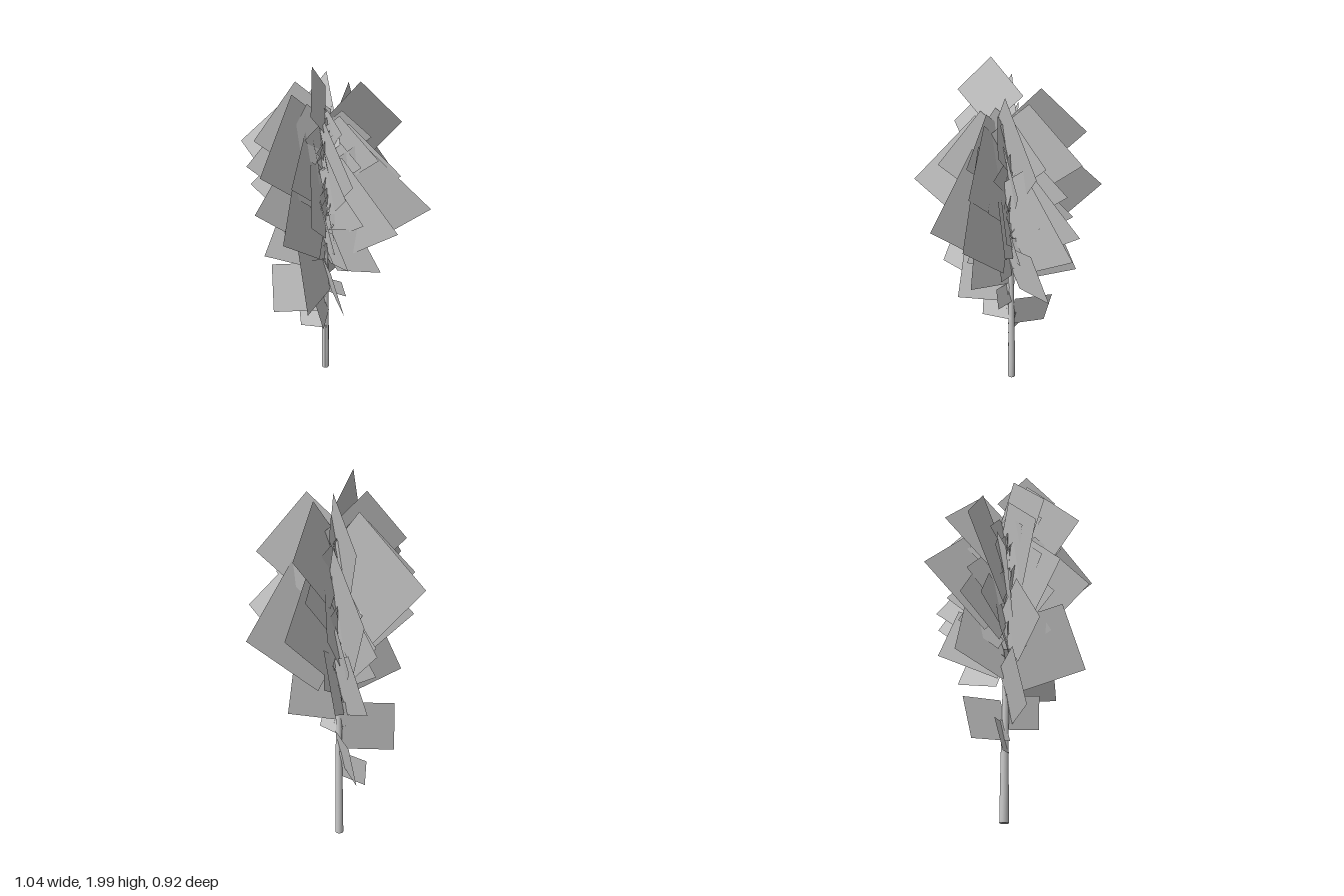
import * as THREE from 'three';

const HEIGHT = 1.74, TWIST = 0.23;
const wood = new THREE.MeshStandardMaterial({ color: 0xcccccc });
const leaf = new THREE.MeshStandardMaterial({ color: 0xcccccc, side: THREE.DoubleSide, flatShading: true });

// Centre line of the slightly leaning trunk
function trunkAt(y) {
  const t = y / HEIGHT;
  return new THREE.Vector3(-0.037 + 0.012 * t, y, -0.042 + 0.035 * t * t);
}

// Outer lower corners (x, y, z) of the big foliage cards that shape the crown
const TIPS = [
  [-0.185, 0.31, -0.05], [-0.18, 0.37, -0.2], [-0.02, 0.46, 0.13], [-0.32, 0.49, 0.06],
  [0.09, 0.61, 0], [0.11, 0.66, 0.23], [0.16, 0.77, -0.3], [-0.06, 0.77, 0.375],
  [-0.26, 0.8, -0.29], [-0.12, 0.82, -0.385], [0.285, 0.87, 0.09], [-0.335, 0.94, 0.13],
  [0.28, 1.1, -0.09], [-0.3, 1.1, -0.27], [0.12, 1.18, -0.43], [-0.165, 1.22, 0.41],
  [0.52, 1.26, 0.045], [-0.285, 1.28, -0.46], [-0.43, 1.28, -0.035], [0.32, 1.17, -0.435],
  [0.37, 1.24, 0.265], [0.08, 1.36, 0.46], [-0.34, 1.27, 0.245], [-0.52, 1.43, -0.225],
  [0.36, 1.45, 0.065], [-0.4, 1.47, 0.12], [0.15, 1.5, 0.295], [-0.27, 1.55, 0.36],
  [0.08, 1.56, -0.41], [0.25, 1.55, 0.11], [-0.22, 1.6, -0.37], [0.335, 1.59, -0.25],
  [-0.34, 1.64, 0.17], [-0.05, 1.82, 0.25],
];

// Smaller inner cards, spiralling up the trunk
function innerTips(count) {
  const tips = [];
  for (let i = 0; i < count; i++) {
    const t = i / (count - 1), a = i * 2.39996;
    const y = 0.85 + 0.82 * t;
    const r = 0.18 + 0.12 * Math.sin(Math.PI * t) + 0.04 * Math.sin(i * 4.7);
    const c = trunkAt(y);
    tips.push([c.x + r * Math.cos(a), y, c.z + r * Math.sin(a)]);
  }
  return tips;
}

// Square card whose base edge is centred on the trunk, rising along its twig
function addBranch(parent, [x, y, z]) {
  const c = trunkAt(y);
  const reach = Math.hypot(x - c.x, z - c.z);
  // twigs droop low down and rise to about 43 degrees in the crown
  const rise = THREE.MathUtils.degToRad(-10 + 53 * THREE.MathUtils.clamp((y - 0.3) / 0.95, 0, 1));
  const cos = Math.cos(rise), sin = Math.sin(rise);
  const size = reach / (cos + 0.5 * sin);
  const az = Math.atan2(z - c.z, x - c.x) + Math.atan(0.5 * size * Math.sin(TWIST) / reach);
  const out = new THREE.Vector3(Math.cos(az), 0, Math.sin(az));
  const lean = new THREE.Vector3(-out.z, 0, out.x);
  const dir = out.clone().multiplyScalar(cos).setY(sin);
  const across = out.clone().multiplyScalar(-sin).setY(cos)
    .multiplyScalar(Math.cos(TWIST)).addScaledVector(lean, Math.sin(TWIST));
  const base = trunkAt(y - size * sin + 0.5 * size * cos);

  const branch = new THREE.Group();
  branch.name = 'branch';
  branch.position.copy(base);
  branch.quaternion.setFromRotationMatrix(
    new THREE.Matrix4().makeBasis(dir, across, dir.clone().cross(across)));

  const card = new THREE.Mesh(new THREE.PlaneGeometry(size, size).translate(size / 2, 0, 0), leaf);
  card.name = 'foliageCard';
  const length = size * 0.12;
  const twig = new THREE.Mesh(
    new THREE.CylinderGeometry(0.001, 0.006, length, 5).rotateZ(-Math.PI / 2).translate(length / 2, 0, 0), wood);
  twig.name = 'twig';
  branch.add(card, twig);
  parent.add(branch);
}

export function createModel() {
  const tree = new THREE.Group();
  tree.name = 'tree';

  // Tapered trunk bent along its centre line
  const geo = new THREE.CylinderGeometry(0.006, 0.023, HEIGHT, 10, 12).translate(0, HEIGHT / 2, 0);
  const p = geo.attributes.position;
  for (let i = 0; i < p.count; i++) {
    const c = trunkAt(p.getY(i));
    p.setXYZ(i, p.getX(i) + c.x, p.getY(i), p.getZ(i) + c.z);
  }
  geo.computeVertexNormals();
  const trunk = new THREE.Mesh(geo, wood);
  trunk.name = 'trunk';
  tree.add(trunk);

  const crown = new THREE.Group();
  crown.name = 'crown';
  for (const tip of [...TIPS, ...innerTips(38)]) addBranch(crown, tip);
  tree.add(crown);
  return tree;
}
